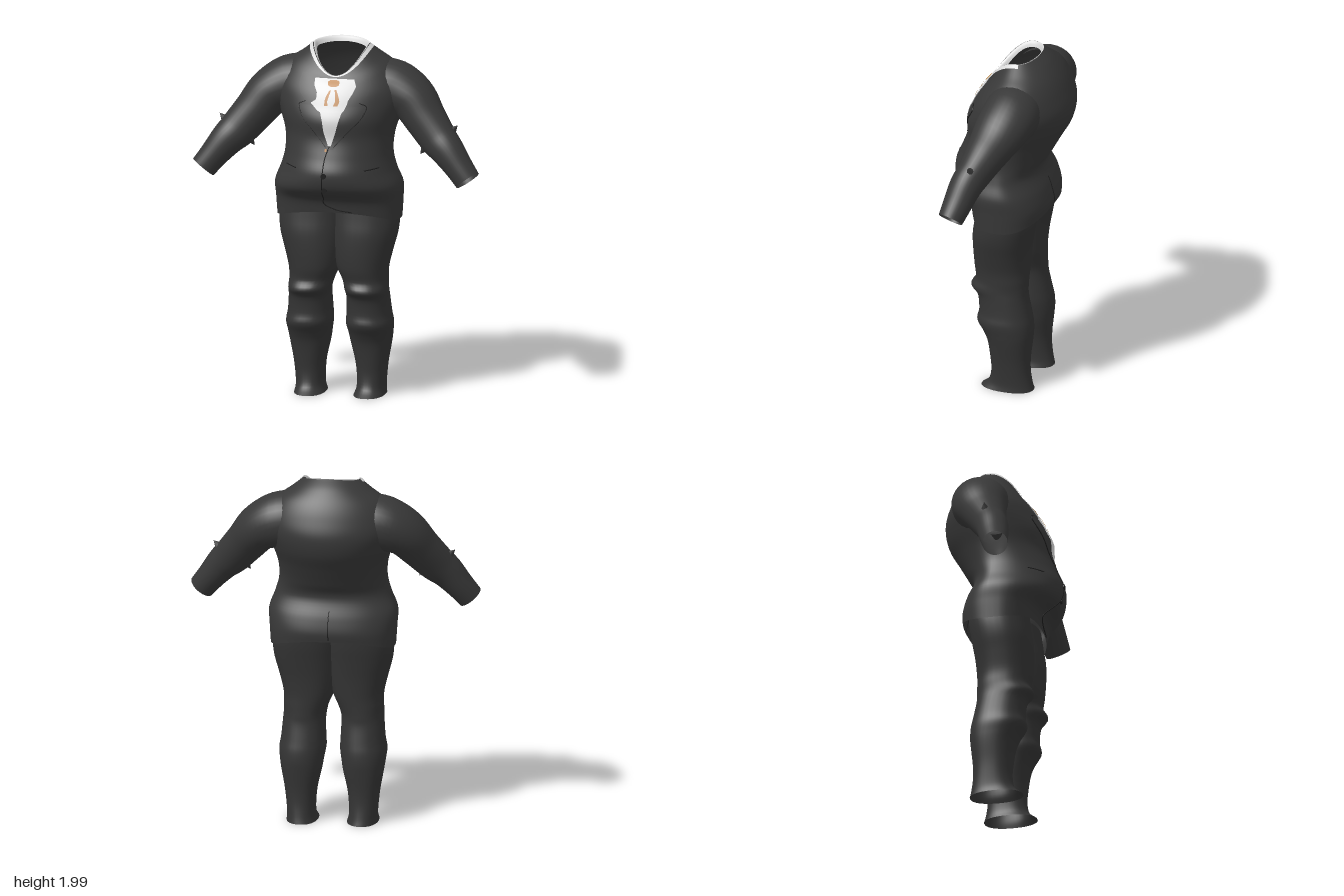
import * as THREE from 'three';

const mat = (name, color) => {
  const m = new THREE.MeshStandardMaterial({ color, side: THREE.DoubleSide });
  m.name = name;
  return m;
};

// smooth interpolation through the rows of a table, t from 0 to 1
function sample(rows, t) {
  const n = rows.length - 1;
  const f = Math.min(Math.max(t, 0), 1) * n;
  const i = Math.min(Math.floor(f), n - 1), k = f - i;
  const at = j => rows[Math.min(Math.max(j, 0), n)];
  const [a, b, c, d] = [at(i - 1), at(i), at(i + 1), at(i + 2)];
  return b.map((p, j) => p + 0.5 * k * (c[j] - a[j] + k * (2 * a[j] - 5 * p + 4 * c[j] - d[j]
    + k * (3 * (p - c[j]) + d[j] - a[j]))));
}

// grid surface from fn(u, v); closed joins the u ends, flip reverses the faces
function surface(fn, nu, nv, closed = false, flip = false) {
  const pos = [], index = [], cols = closed ? nu : nu + 1;
  for (let j = 0; j <= nv; j++)
    for (let i = 0; i < cols; i++) pos.push(...fn(i / nu, j / nv));
  for (let j = 0; j < nv; j++) {
    for (let i = 0; i < nu; i++) {
      const a = j * cols + i, b = j * cols + (i + 1) % cols;
      const c = a + cols, d = b + cols;
      if (flip) index.push(a, c, b, b, c, d);
      else index.push(a, b, c, b, d, c);
    }
  }
  const g = new THREE.BufferGeometry();
  g.setAttribute('position', new THREE.Float32BufferAttribute(pos, 3));
  g.setIndex(index);
  g.computeVertexNormals();
  return g;
}

const pow = (a, e) => Math.sign(a) * Math.abs(a) ** e;

// jacket rings: side y, front y, back y, half width, front z, back z, mid z, roundness
const JACKET = [
  [1.02, 1.075, 1.08, 0.345, 0.195, -0.225, 0, 0.8],
  [1.13, 1.15, 1.13, 0.352, 0.22, -0.23, 0, 0.82],
  [1.22, 1.22, 1.21, 0.355, 0.305, -0.21, 0, 0.9],
  [1.31, 1.31, 1.32, 0.322, 0.325, -0.17, 0, 1],
  [1.40, 1.40, 1.40, 0.30, 0.29, -0.21, 0, 1],
  [1.50, 1.50, 1.50, 0.305, 0.255, -0.265, -0.02, 1],
  [1.60, 1.60, 1.60, 0.335, 0.25, -0.32, -0.04, 1],
  [1.70, 1.68, 1.70, 0.365, 0.215, -0.335, -0.06, 1],
  [1.78, 1.74, 1.80, 0.36, 0.185, -0.305, -0.07, 1],
  [1.87, 1.785, 1.88, 0.30, 0.155, -0.265, -0.08, 1],
  [1.93, 1.812, 1.95, 0.22, 0.13, -0.21, -0.07, 1],
  [1.98, 1.83, 1.995, 0.155, 0.115, -0.155, -0.06, 1],
];

function jacketPoint(angle, v) {
  const [ys, yf, yb, rx, zf, zb, zm, e] = sample(JACKET, v);
  const s = Math.sin(angle), c = Math.cos(angle);
  return [rx * pow(s, e), ys + ((c > 0 ? yf : yb) - ys) * c * c,
    zm + ((c > 0 ? zf : zb) - zm) * Math.abs(c) ** e];
}

// point on the jacket at a given x and y, on the front or the back
function onJacket(x, y, lift, back = false) {
  let lo = 0, hi = 1, p;
  for (let i = 0; i < 24; i++) {
    const v = (lo + hi) / 2, r = sample(JACKET, v);
    const a = Math.asin(pow(THREE.MathUtils.clamp(x / r[3], -1, 1), 1 / r[7]));
    p = jacketPoint(back ? Math.PI - a : a, v);
    if (p[1] < y) lo = v; else hi = v;
  }
  return [x, y, p[2] + (back ? -lift : lift)];
}

// thin plate lying on the jacket front: rows of y, x from, x to (listed upward)
function plate(rows, lift) {
  const n = rows.length - 1;
  return surface((u, v) => {
    const i = Math.min(Math.floor(v * n), n - 1), k = v * n - i;
    const [y, a, b] = rows[i].map((p, j) => p + (rows[i + 1][j] - p) * k);
    return onJacket(a + (b - a) * u, y, lift);
  }, 10, n * 4);
}

// narrow seam following points on the jacket
function seam(points, lift = 0.003, back = false) {
  const flat = new THREE.CatmullRomCurve3(points.map(([x, y]) => new THREE.Vector3(x, y, 0)));
  const path = flat.getPoints(16).map(p => new THREE.Vector3(...onJacket(p.x, p.y, lift, back)));
  return new THREE.TubeGeometry(new THREE.CatmullRomCurve3(path), 32, 0.003, 5);
}

// sleeve rings: centre x, y, z, radius across, radius in depth
const SLEEVE = [
  [0.20, 1.74, -0.08, 0.165, 0.16], [0.30, 1.73, -0.08, 0.155, 0.16],
  [0.40, 1.68, -0.055, 0.132, 0.148], [0.48, 1.585, -0.01, 0.116, 0.12],
  [0.56, 1.49, 0.035, 0.106, 0.097], [0.62, 1.43, 0.065, 0.094, 0.09],
  [0.69, 1.345, 0.09, 0.079, 0.08], [0.745, 1.275, 0.11, 0.073, 0.07],
];

function sleeve(side) {
  return surface((u, v) => {
    const r = sample(SLEEVE, v), a = u * Math.PI * 2;
    const p = new THREE.Vector3(r[0], r[1], r[2]);
    const t = new THREE.Vector3(...sample(SLEEVE, v + 0.01).slice(0, 3))
      .sub(new THREE.Vector3(...sample(SLEEVE, v - 0.01).slice(0, 3))).normalize();
    const n = new THREE.Vector3(0, 0, 1).cross(t).normalize();
    const b = t.clone().cross(n);
    p.addScaledVector(n, r[3] * Math.cos(a)).addScaledVector(b, r[4] * Math.sin(a));
    return [p.x * side, p.y, p.z];
  }, 32, 36, true, side < 0);
}

// trouser rings: y, inner x, outer x, front z, back z
const LEG = [
  [0.01, 0.08, 0.255, 0.13, -0.17], [0.05, 0.092, 0.25, 0.085, -0.16],
  [0.12, 0.092, 0.255, 0.07, -0.15], [0.20, 0.083, 0.265, 0.075, -0.15],
  [0.30, 0.06, 0.283, 0.09, -0.16], [0.36, 0.05, 0.292, 0.115, -0.165],
  [0.42, 0.04, 0.298, 0.15, -0.162], [0.48, 0.042, 0.288, 0.14, -0.15],
  [0.57, 0.045, 0.28, 0.15, -0.132], [0.62, 0.04, 0.277, 0.19, -0.13],
  [0.67, 0.025, 0.275, 0.165, -0.13], [0.74, -0.005, 0.278, 0.175, -0.132],
  [0.84, -0.025, 0.302, 0.18, -0.14], [0.94, -0.035, 0.328, 0.178, -0.155],
  [1.03, -0.04, 0.335, 0.165, -0.17], [1.14, -0.04, 0.325, 0.15, -0.18],
];

function leg(side) {
  return surface((u, v) => {
    const [y, xi, xo, zf, zb] = sample(LEG, v), a = u * Math.PI * 2, e = 0.88;
    return [side * ((xi + xo) / 2 + (xo - xi) / 2 * pow(Math.sin(a), e)), y,
      (zf + zb) / 2 + (zf - zb) / 2 * pow(Math.cos(a), e)];
  }, 36, 64, true, side < 0);
}

export function createModel() {
  const model = new THREE.Group();
  const cloth = mat('jacket charcoal', 0x383838);
  const trouser = mat('trouser charcoal', 0x343434);
  const dark = mat('seam black', 0x1c1c1c);
  const white = mat('shirt white', 0xd9d9d9);
  const gold = mat('tie gold', 0xb57a30);
  const add = (name, geometry, material) => {
    const m = new THREE.Mesh(geometry, material);
    m.name = name;
    model.add(m);
    return m;
  };

  add('jacketBody', surface((u, v) => jacketPoint(u * Math.PI * 2, v), 64, 66, true), cloth);

  for (const s of [1, -1]) {
    const side = s > 0 ? 'left' : 'right';
    add(side + 'Sleeve', sleeve(s), cloth);
    add(side + 'TrouserLeg', leg(s), trouser);

    // pointed cloth folds at the elbow
    for (const [x, y, z, dx, dy] of [[0.65, 1.545, 0.03, 0.6, 0.6], [0.485, 1.425, 0.06, -0.5, -0.7]]) {
      const fold = add(side + 'ElbowFold', new THREE.ConeGeometry(0.035, 0.06, 8), cloth);
      fold.position.set(s * x, y, z);
      fold.quaternion.setFromUnitVectors(new THREE.Vector3(0, 1, 0),
        new THREE.Vector3(s * dx, dy, 0).normalize());
    }

    // lapel with its notched outer edge
    const lapel = [[1.45, 0, 0.02], [1.55, 0.035, 0.10], [1.62, 0.055, 0.165], [1.68, 0.095, 0.19],
      [1.70, 0.10, 0.15], [1.74, 0.11, 0.19], [1.79, 0.125, 0.20], [1.84, 0.125, 0.19]];
    add(side + 'Lapel', plate(lapel.map(([y, a, b]) =>
      s > 0 ? [y, a, b] : [y, -b, -a]), 0.005), cloth);
    add(side + 'LapelEdge', seam([[0.02, 1.46], [0.10, 1.55], [0.165, 1.62], [0.19, 1.68], [0.15, 1.70]]
      .map(([x, y]) => [s * x, y])), dark);
    add(side + 'PocketSeam', seam([[s * 0.19, 1.335], [s * 0.26, 1.34]], 0.001), dark);
  }

  // shirt front with its uneven edge
  add('shirtFront', plate([[1.47, -0.008, 0.008], [1.54, -0.035, 0.03], [1.60, -0.045, 0.045],
    [1.65, -0.06, 0.06], [1.66, -0.08, 0.07], [1.695, -0.12, 0.085], [1.715, -0.09, 0.09],
    [1.75, -0.09, 0.11], [1.785, -0.11, 0.125], [1.82, -0.11, 0.11]], 0.008), white);

  // shirt collar: a strip outside the front of the neck and a band inside it
  add('collarFront', surface((u, v) => {
    const a = (u - 0.5) * Math.PI * 1.1, p = jacketPoint(a, 0.965 + 0.035 * v);
    return [p[0] + 0.004 * Math.sin(a), p[1] + 0.003, p[2] + 0.007 * Math.cos(a)];
  }, 48, 3), white);
  add('collarBand', surface((u, v) => {
    const a = u * Math.PI * 2, p = jacketPoint(a, 1), k = 0.018 * v;
    return [p[0] - k * Math.sin(a), p[1] + 0.004 - 0.03 * v * v, p[2] - k * Math.cos(a)];
  }, 48, 4, true), white);

  // tie knot and the two tails
  add('tieKnot', plate([[1.782, -0.015, 0.015], [1.79, -0.032, 0.03], [1.805, -0.035, 0.033],
    [1.814, -0.02, 0.02]], 0.013), gold);
  add('tieRightTail', plate([[1.685, -0.04, -0.02], [1.71, -0.04, -0.025], [1.735, -0.034, -0.018],
    [1.765, -0.018, -0.01]], 0.013), gold);
  add('tieLeftTail', plate([[1.685, 0.01, 0.035], [1.71, 0.02, 0.044], [1.735, 0.018, 0.036],
    [1.768, 0.01, 0.02]], 0.013), gold);
  add('stud', plate([[1.44, -0.024, -0.014], [1.455, -0.024, -0.014]], 0.009), gold);

  // front closure, cutaway edge and back vent
  add('frontClosure', seam([[0, 1.47], [-0.022, 1.40], [-0.03, 1.30], [-0.04, 1.17]]), dark);
  add('cutawayEdge', seam([[-0.04, 1.17], [-0.045, 1.13], [0.02, 1.095], [0.11, 1.08]], 0.002), dark);
  add('backVent', seam([[0, 1.25], [0.004, 1.17], [0, 1.09]], 0.001, true), dark);
  for (const y of [1.31, 1.225]) {
    const button = add('button', new THREE.CylinderGeometry(0.015, 0.015, 0.008, 16), dark);
    button.rotation.x = Math.PI / 2;
    button.position.set(...onJacket(-0.022, y, 0.003));
  }
  return model;
}
